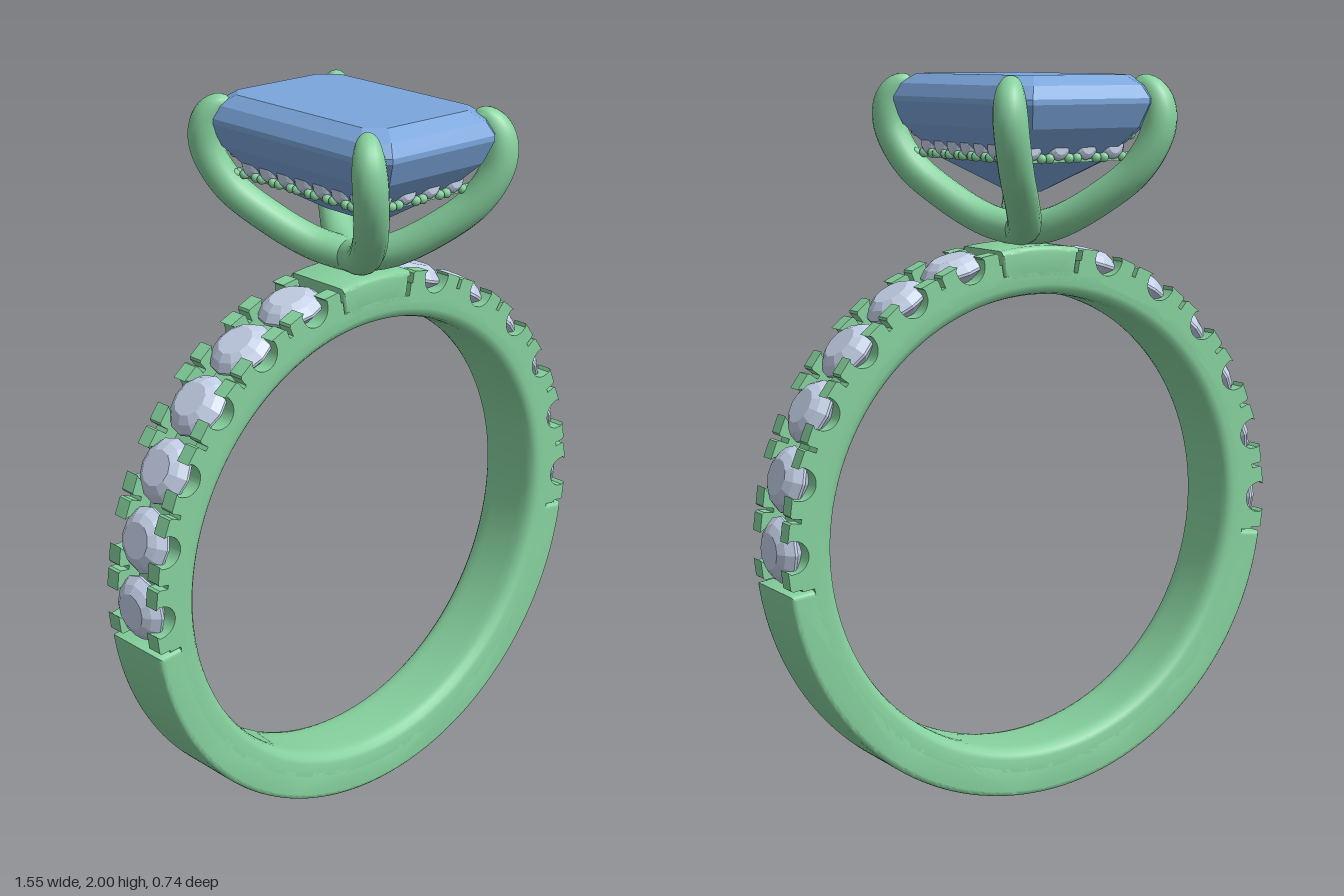
import * as THREE from 'three';
import { toCreasedNormals } from 'three/addons/utils/BufferGeometryUtils.js';

const metal = new THREE.MeshStandardMaterial({ color: 0x86d19e });
const blue = new THREE.MeshStandardMaterial({ color: 0x7ba6dc, flatShading: true });
const clear = new THREE.MeshStandardMaterial({ color: 0xc3cfe6, flatShading: true });

const CY = 0.77, R = 0.77, SEAT = 0.7, HALF = 0.105; // band centre, outer radius, stone seat, half width
const STEP = THREE.MathUtils.degToRad(14.6), STONES = 6;
const V = (x, y, z) => new THREE.Vector3(x, y, z);

function add(parent, name, geo, mat) {
  const mesh = new THREE.Mesh(geo, mat);
  mesh.name = name;
  parent.add(mesh);
  return mesh;
}

function extrude(shape, depth, bevel, curveSegments = 8) {
  const geo = new THREE.ExtrudeGeometry(shape, {
    depth: depth - 2 * bevel, curveSegments, bevelEnabled: bevel > 0,
    bevelThickness: bevel, bevelSize: bevel, bevelOffset: -bevel, bevelSegments: 3,
  });
  geo.translate(0, 0, -depth / 2 + bevel);
  return toCreasedNormals(geo, 0.6);
}

// Round faceted stone, table towards +y, girdle at y = 0
function roundStone(r) {
  const p = [[0, -0.85], [1, -0.04], [1, 0.04], [0.8, 0.27], [0.55, 0.42], [0, 0.42]];
  return new THREE.LatheGeometry(p.map(([a, b]) => new THREE.Vector2(a * r, b * r)), 12);
}

// Solid piece of the band between two angles
function sector(a, b) {
  const s = new THREE.Shape();
  s.absarc(0, 0, R, a, b, false);
  s.absarc(0, 0, 0.675, b, a, true);
  return extrude(s, HALF * 2, 0.014, 90);
}

// Half of a split post: slit on one side, half scallop on the other
function halfPost(side) {
  const h = 0.097, r = 0.045, top = 0.768;
  const pts = [[0, 0.68], [h, 0.68]];
  for (let i = 0; i <= 6; i++) {
    const a = (i / 6) * Math.PI / 2;
    pts.push([h - r * Math.sin(a), 0.748 - r * Math.cos(a)]);
  }
  pts.push([h - r, top - 0.008], [h - r + 0.008, top], [0.011, top], [0.006, top - 0.006], [0.006, 0.735], [0, 0.735]);
  return extrude(new THREE.Shape(pts.map(([x, y]) => new THREE.Vector2(x * side, y))), 0.045, 0);
}

function buildBand() {
  const band = new THREE.Group();
  band.name = 'band';
  band.position.y = CY;

  // Inner ring with softened inside edges
  const half = [[SEAT, HALF], [0.665, HALF], [0.652, 0.101], [0.641, 0.09], [0.636, 0.072], [0.635, 0.05]];
  const profile = [[SEAT, -HALF], ...half, ...half.slice(1).reverse().map(([r, z]) => [r, -z]), [SEAT, -HALF]];
  const ring = new THREE.LatheGeometry(profile.map(([r, z]) => new THREE.Vector2(r, z)), 128);
  ring.rotateX(Math.PI / 2);
  add(band, 'innerRing', toCreasedNormals(ring, 0.6), metal);

  // Plain lower shank and crown bridge
  const first = -STEP / 2 - 0.008, last = STEP * (STONES - 0.5) + 0.008;
  add(band, 'shank', sector(Math.PI - first, Math.PI * 2 + first), metal);
  add(band, 'bridge', sector(last, Math.PI - last), metal);

  const stone = roundStone(0.09);
  const posts = { '-1': halfPost(-1), '1': halfPost(1) };
  for (const mirror of [1, -1]) {
    const spin = a => mirror * (a - Math.PI / 2);
    for (let i = 0; i < STONES; i++) {
      const holder = new THREE.Group();
      holder.name = 'bandStone';
      holder.rotation.z = spin(i * STEP);
      add(holder, 'roundStone', stone, clear).position.y = 0.737;
      band.add(holder);
    }
    for (let i = 0; i <= STONES; i++) {
      for (const side of [-1, 1]) {
        // The outermost halves are part of the solid sectors
        if ((i === 0 && side === -mirror * -1) || (i === STONES && side === -mirror)) {
          continue;
        }
        for (const z of [-1, 1]) {
          const post = add(band, 'bandPost', posts[side], metal);
          post.rotation.z = spin((i - 0.5) * STEP);
          post.position.z = z * (HALF - 0.0225);
        }
      }
    }
  }
  return band;
}

// Step-cut rectangular gem lofted through eight-cornered levels, bottom to top
function gemGeometry() {
  const levels = [ // half x, half z, y, corner cut
    [0.001, 0.1, 1.685, 0], [0.145, 0.232, 1.772, 0.03], [0.215, 0.322, 1.86, 0.05],
    [0.24, 0.35, 1.922, 0.06], [0.24, 0.35, 1.936, 0.06], [0.222, 0.33, 1.97, 0.055], [0.185, 0.29, 1.997, 0.045],
  ];
  const pos = [], index = [];
  for (const [x, z, y, c] of levels) {
    for (const [px, pz] of [[x, z - c], [x, c - z], [x - c, -z], [c - x, -z], [-x, c - z], [-x, z - c], [c - x, z], [x - c, z]]) {
      pos.push(px, y, pz);
    }
  }
  for (let l = 0; l < levels.length - 1; l++) {
    for (let i = 0; i < 8; i++) {
      const a = l * 8 + i, b = l * 8 + (i + 1) % 8;
      index.push(a, b, b + 8, a, b + 8, a + 8);
    }
  }
  const t = (levels.length - 1) * 8;
  for (let i = 1; i < 7; i++) index.push(t, t + i, t + i + 1);
  const geo = new THREE.BufferGeometry();
  geo.setAttribute('position', new THREE.Float32BufferAttribute(pos, 3));
  geo.setIndex(index);
  const flat = geo.toNonIndexed();
  flat.computeVertexNormals();
  return flat;
}

// Claw: a tube whose last part narrows to a rounded tip
function clawGeometry(sx, sz) {
  const path = new THREE.CatmullRomCurve3([
    V(0, 1.575, 0), V(0.05, 1.6, 0.1), V(0.12, 1.665, 0.2), V(0.188, 1.75, 0.282),
    V(0.227, 1.85, 0.322), V(0.23, 1.925, 0.318), V(0.213, 1.965, 0.295), V(0.185, 1.98, 0.265),
  ].map(p => V(p.x * sx, p.y, p.z * sz)));
  const n = 60, m = 16;
  const geo = new THREE.TubeGeometry(path, n, 0.046, m);
  const p = geo.attributes.position, v = V(0, 0, 0);
  for (let i = 0; i <= n; i++) {
    const c = path.getPointAt(i / n);
    const u = Math.max(0, (i / n - 0.78) / 0.22);
    const k = Math.sqrt(1 - u * u);
    for (let j = 0; j <= m; j++) {
      const id = i * (m + 1) + j;
      v.fromBufferAttribute(p, id).sub(c).multiplyScalar(k).add(c);
      p.setXYZ(id, v.x, v.y, v.z);
    }
  }
  return toCreasedNormals(geo, 1.2);
}

// Rectangular gallery under the gem, set with small stones on all four sides
function buildGallery() {
  const gallery = new THREE.Group();
  gallery.name = 'gallery';
  gallery.position.y = 1.81;
  const rect = (Type, x, z) => new Type([[-x, -z], [x, -z], [x, z], [-x, z]].map(([a, b]) => new THREE.Vector2(a, b)));
  const frame = rect(THREE.Shape, 0.162, 0.252);
  frame.holes.push(rect(THREE.Path, 0.14, 0.228));
  const geo = extrude(frame, 0.08, 0);
  geo.rotateX(Math.PI / 2);
  add(gallery, 'galleryFrame', geo, metal);

  const stone = roundStone(0.035);
  stone.rotateX(Math.PI / 2);
  const bead = new THREE.SphereGeometry(0.0135, 8, 6);
  const sides = [[0, 4, 0.085, 0.255], [1, 7, 0.071, 0.165], [2, 4, 0.085, 0.255], [3, 7, 0.071, 0.165]];
  for (const [turn, count, pitch, dist] of sides) {
    const row = new THREE.Group();
    row.name = 'galleryRow';
    row.rotation.y = turn * Math.PI / 2;
    for (let i = 0; i < count; i++) {
      add(row, 'galleryStone', stone, clear).position.set((i - (count - 1) / 2) * pitch, 0, dist);
    }
    for (let i = 0; i <= count; i++) {
      for (const y of [-0.029, 0.029]) {
        for (const dx of [-0.012, 0.012]) {
          add(row, 'galleryBead', bead, metal).position.set((i - count / 2) * pitch + dx, y, dist + 0.004);
        }
      }
    }
    gallery.add(row);
  }
  return gallery;
}

export function createModel() {
  const ring = new THREE.Group();
  ring.name = 'ring';
  ring.add(buildBand(), buildGallery());
  add(ring, 'centreGem', gemGeometry(), blue);
  for (const sx of [-1, 1]) for (const sz of [-1, 1]) add(ring, 'claw', clawGeometry(sx, sz), metal);
  return ring;
}
